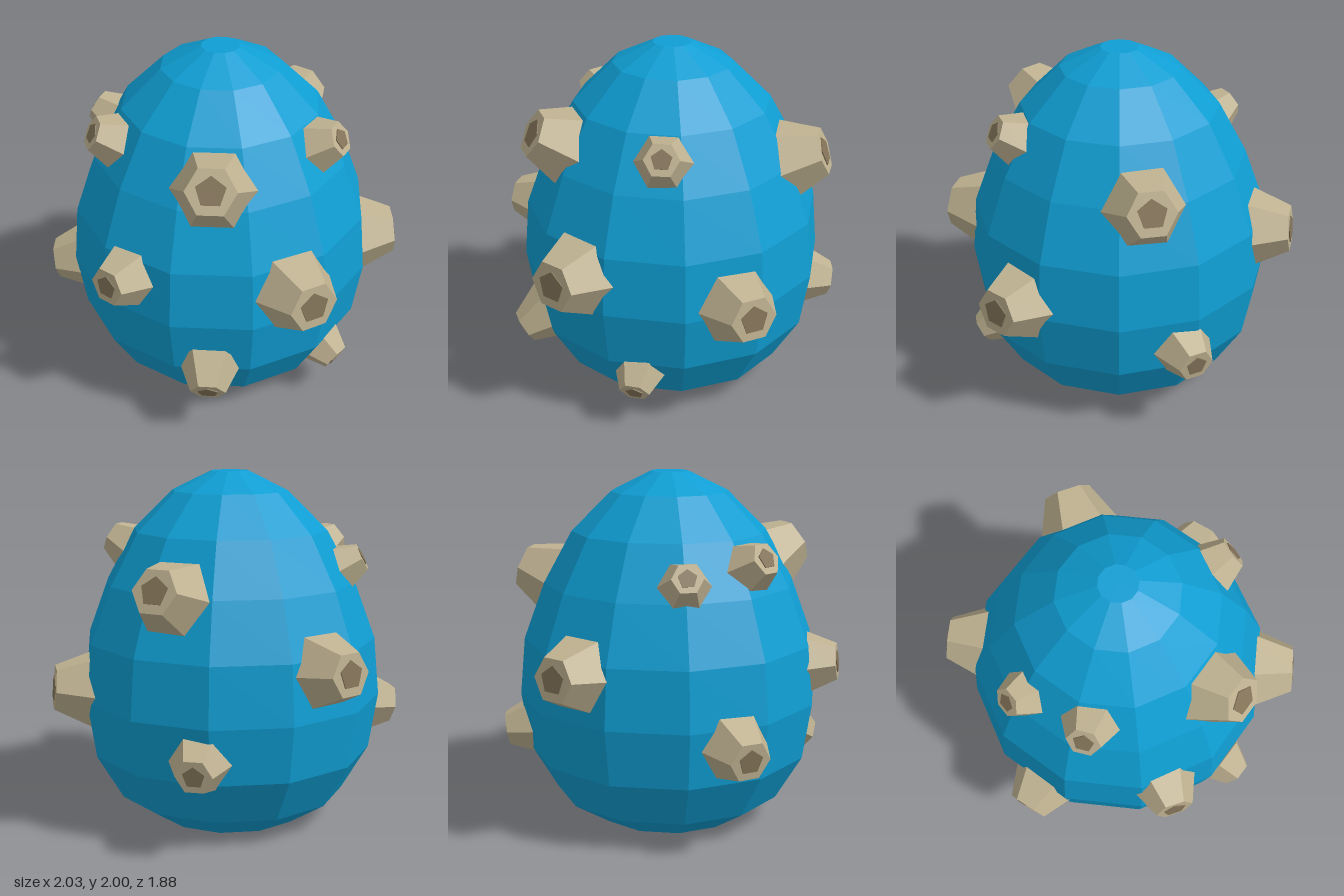
import * as THREE from 'three';

// Body silhouette: [distance from axis to facet, height]
const PROFILE = [[0.42, 0], [0.64, 0.15], [0.787, 0.41], [0.835, 0.73], [0.805, 1.06],
  [0.69, 1.38], [0.535, 1.67], [0.32, 1.89], [0.103, 2]];
const CENTER = [-0.015, -0.01];

// Studs: [azimuth in degrees from +z toward +x, height on the body, base radius]
const STUDS = [
  [0, 1.485, 0.215], [32, 0.905, 0.225], [-35, 0.94, 0.17], [-1, 0.41, 0.155],
  [56, 0.31, 0.135], [66, 1.55, 0.15], [-68, 1.53, 0.15], [-105, 1.47, 0.135],
  [161, 0.525, 0.16], [211, 0.99, 0.205], [146, 1.38, 0.21], [95, 0.78, 0.21],
  [-87, 0.62, 0.185],
];

// Radius and outward slope of the body at a given height
function surfaceAt(y) {
  const i = PROFILE.findIndex((p, k) => k > 0 && p[1] >= y);
  const [r0, y0] = PROFILE[i - 1], [r1, y1] = PROFILE[i];
  const r = r0 + (r1 - r0) * (y - y0) / (y1 - y0);
  return { r: r * 1.015, tilt: Math.atan2(r0 - r1, y1 - y0) };
}

export function createModel() {
  const model = new THREE.Group();
  const material = (name, color) => {
    const m = new THREE.MeshStandardMaterial({ color, flatShading: true });
    m.name = name;
    return m;
  };
  const blue = material('blue shell', 0x0f9ed3);
  const tan = material('tan stone', 0xbfb291);
  const brown = material('brown pit', 0x85755a);

  const addMesh = (parent, name, geometry, mat) => {
    const mesh = new THREE.Mesh(geometry, mat);
    mesh.name = name;
    parent.add(mesh);
    return mesh;
  };

  // Twelve-sided egg body, closed at both ends
  const k = 1 / Math.cos(Math.PI / 12);
  const points = [new THREE.Vector2(0, 0),
    ...PROFILE.map(([r, y]) => new THREE.Vector2(r * k, y)), new THREE.Vector2(0, 2)];
  const body = addMesh(model, 'eggBody', new THREE.LatheGeometry(points, 12, Math.PI / 12), blue);
  body.position.set(CENTER[0], 0, CENTER[1]);

  // Six-sided tapered studs, each with a five-sided pit on its tip
  STUDS.forEach(([degrees, y, size], i) => {
    const a = THREE.MathUtils.degToRad(degrees);
    const { r, tilt } = surfaceAt(y);
    const stud = new THREE.Group();
    stud.name = `stud${i + 1}`;

    const height = size * 0.84, sunk = size * 0.35;
    const tip = size * 0.63, root = size + (size - tip) * sunk / height;
    const cone = addMesh(stud, 'studBase',
      new THREE.CylinderGeometry(tip, root, height + sunk, 6, 1, false, Math.PI / 6), tan);
    cone.position.y = (height - sunk) / 2;
    const pit = addMesh(stud, 'studPit',
      new THREE.CylinderGeometry(size * 0.385, size * 0.385, 0.008, 5, 1, false, Math.PI), brown);
    pit.position.y = height + 0.002;

    // Stand the stud along the body's outward direction
    const side = new THREE.Vector3(Math.cos(a), 0, -Math.sin(a));
    const out = new THREE.Vector3(Math.sin(a) * Math.cos(tilt), Math.sin(tilt), Math.cos(a) * Math.cos(tilt));
    const down = new THREE.Vector3().crossVectors(side, out);
    stud.quaternion.setFromRotationMatrix(new THREE.Matrix4().makeBasis(side, out, down));
    stud.position.set(CENTER[0] + Math.sin(a) * r, y, CENTER[1] + Math.cos(a) * r);
    model.add(stud);
  });

  return model;
}
